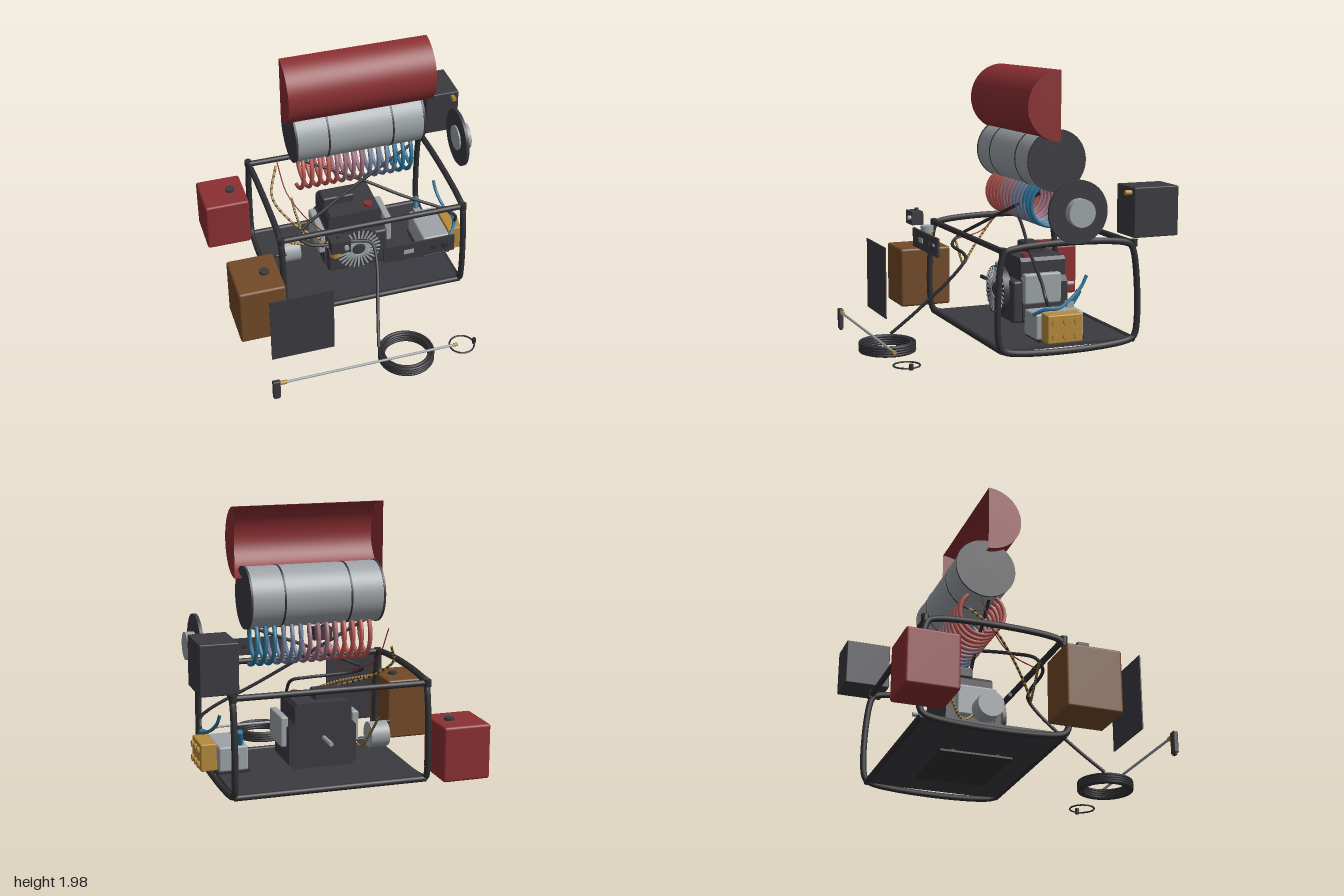
import * as THREE from 'three';
import { RoundedBoxGeometry } from 'three/addons/geometries/RoundedBoxGeometry.js';

const V = (p) => new THREE.Vector3(...p);
const colour = (name, hex) => {
  const m = new THREE.MeshStandardMaterial({ color: hex });
  m.name = name;
  return m;
};

export function createModel() {
  const root = new THREE.Group();
  const dark = colour('charcoal', 0x3b3a40), black = colour('black rubber', 0x303034);
  const gray = colour('light steel', 0x9da3a7), red = colour('red paint', 0x8b2f32);
  const brown = colour('brown paint', 0x724a28), brass = colour('brass', 0xb58a3a);
  const blue = colour('blue', 0x2c7599), hot = colour('hot coil red', 0xb55650);
  const warm = colour('warm coil mauve', 0x9a6a78), cool = colour('cool coil slate', 0x6e7996);
  const redInside = red;
  redInside.side = THREE.DoubleSide;

  const add = (name, geo, mat, pos = [0, 0, 0]) => {
    const m = new THREE.Mesh(geo, mat);
    m.name = name;
    m.position.set(...pos);
    root.add(m);
    return m;
  };
  // Box given by its lower and upper corners
  const box = (name, mat, a, b, r = 0) => {
    const s = a.map((v, i) => b[i] - v), c = a.map((v, i) => (v + b[i]) / 2);
    return add(name, r ? new RoundedBoxGeometry(...s, 3, r) : new THREE.BoxGeometry(...s), mat, c);
  };
  // Cylinder between two points
  const rod = (name, mat, a, b, r, n = 20) => {
    const d = V(b).sub(V(a));
    const m = add(name, new THREE.CylinderGeometry(r, r, d.length(), n), mat);
    m.position.copy(V(a)).addScaledVector(d, 0.5);
    m.quaternion.setFromUnitVectors(new THREE.Vector3(0, 1, 0), d.normalize());
    return m;
  };
  const tube = (name, mat, pts, r, closed = false, n = 60) =>
    add(name, new THREE.TubeGeometry(new THREE.CatmullRomCurve3(pts.map(V), closed, 'centripetal'), n, r, 8, closed), mat);
  // Colour a tube's segments by a rule returning the material number
  const paintSegments = (geo, count, radial, rule) => {
    for (let i = 0; i < count; i++) geo.addGroup(i * radial * 6, radial * 6, rule(i));
  };

  // Tubular frame: two rounded side loops joined by four cross bars
  for (const x of [-0.62, 0.725]) {
    tube('frameSideLoop', black, [
      [x, 0.18, 0.21], [x, 0.77, 0.193], [x, 0.81, 0.16], [x, 0.812, -0.73], [x, 0.77, -0.768],
      [x, 0.18, -0.792], [x, 0.14, -0.75], [x, 0.135, 0.17]], 0.023, true, 120);
    for (const z of [0.19, -0.775]) rod('frameCorner', black, [x, 0.785, z], [x, 0.835, z], 0.025);
  }
  for (const [y, z] of [[0.81, 0.185], [0.81, -0.765], [0.14, 0.195], [0.14, -0.775]])
    rod('frameCrossBar', black, [-0.62, y, z], [0.725, y, z], 0.021);
  box('basePlate', dark, [-0.61, 0.13, -0.77], [0.715, 0.15, 0.19]);
  box('mountPlate', black, [-0.26, 0.062, -0.545], [0.31, 0.075, -0.04]);
  for (const x of [-0.19, 0.24]) for (const z of [-0.13, -0.44])
    rod('mountFoot', black, [x, 0.075, z], [x, 0.1, z], 0.028);

  // Half-round lifted cover, hollow with closed ends
  const shell = add('coverShell', new THREE.CylinderGeometry(0.24, 0.24, 1.05, 48, 1, true, 0, Math.PI), redInside, [0.055, 1.742, -0.29]);
  shell.rotation.set(0, -Math.PI / 2, Math.PI / 2, 'YXZ');
  shell.rotation.set(0, 0, 0);
  const turn = new THREE.Matrix4().makeBasis(V([0, 1, 0]), V([1, 0, 0]), V([0, 0, -1]));
  shell.geometry.applyMatrix4(turn);
  // keep the curved half on the front side
  shell.geometry.computeBoundingBox();
  if (shell.geometry.boundingBox.max.z < 0.1) shell.geometry.rotateX(Math.PI);
  if (shell.geometry.boundingBox.max.z < 0.23 || shell.geometry.boundingBox.min.z < -0.1) {
    shell.geometry.dispose();
    shell.geometry = new THREE.CylinderGeometry(0.24, 0.24, 1.05, 48, 1, true, -Math.PI / 2, Math.PI).rotateZ(Math.PI / 2);
  }
  for (const x of [-0.47, 0.58]) {
    const cap = add('coverEnd', new THREE.CircleGeometry(0.24, 40, 0, Math.PI), red, [x, 1.742, -0.29]);
    cap.geometry.rotateZ(-Math.PI / 2).rotateY(-Math.PI / 2);
  }

  // Heater drum with bands and dark end discs
  const axis = (x, y = 1.368) => [x, y, -0.29];
  rod('heaterDrum', gray, axis(-0.41), axis(0.515), 0.209, 64);
  for (const x of [-0.18, 0.285]) rod('drumBand', black, axis(x - 0.006), axis(x + 0.006), 0.212, 64);
  for (const x of [-0.412, 0.515]) rod('drumEnd', dark, axis(x - 0.007), axis(x + 0.007), 0.214, 64);

  // Heat coil, hot to cool
  const helix = new THREE.Curve();
  helix.getPoint = (t, out = new THREE.Vector3()) => {
    const a = t * Math.PI * 28;
    return out.set(-0.375 + 0.86 * t, 1.064 - 0.155 * Math.cos(a), -0.29 + 0.155 * Math.sin(a));
  };
  const coilGeo = new THREE.TubeGeometry(helix, 560, 0.015, 8);
  paintSegments(coilGeo, 560, 8, (i) => (i < 170 ? 0 : i < 320 ? 1 : i < 450 ? 2 : 3));
  add('heatCoil', coilGeo, [hot, warm, cool, blue]);

  // Burner flange and hub
  rod('burnerFlange', dark, axis(0.842, 1.066), axis(0.864, 1.066), 0.212, 56);
  rod('burnerHub', gray, axis(0.832, 1.066), axis(0.927, 1.066), 0.094, 40);

  // Burner control box with fitting
  box('burnerBox', dark, [0.73, 0.89, -0.965], [0.985, 1.225, -0.637], 0.008);
  rod('burnerFitting', brass, [0.935, 1.188, -0.64], [0.935, 1.188, -0.592], 0.017);

  // Tanks with caps
  for (const [name, mat, z0, z1, top] of [['fuelTank', red, -1, -0.645, 0.556], ['waterTank', brown, 0.05, 0.437, 0.613]]) {
    box(name, mat, [-0.99, 0.175, z0], [-0.655, top, z1], 0.018);
    const z = (z0 + z1) / 2;
    rod(name + 'Cap', dark, [-0.762, top - 0.01, z], [-0.762, top + 0.018, z], 0.035);
  }
  box('sidePanel', dark, [-0.825, 0.165, 0.641], [-0.375, 0.685, 0.649]);

  // Engine block with chamfered lower housing
  const house = new THREE.Shape([[-0.18, 0.2], [0.235, 0.2], [0.265, 0.23], [0.265, 0.48], [0.225, 0.52],
    [0.225, 0.63], [0.205, 0.655], [-0.16, 0.655], [-0.18, 0.63], [-0.18, 0.52], [-0.215, 0.48], [-0.215, 0.23]]
    .map((p) => new THREE.Vector2(...p)));
  add('engineBlock', new THREE.ExtrudeGeometry(house, { depth: 0.34, bevelEnabled: false }), dark, [0, 0, -0.495]);
  box('engineFront', dark, [-0.2, 0.2, -0.16], [0.25, 0.5, -0.085], 0.02);
  box('airFilter', dark, [-0.18, 0.64, -0.42], [0.06, 0.72, -0.295], 0.015);
  rod('engineCap', red, [0.143, 0.65, -0.22], [0.143, 0.676, -0.22], 0.03);
  for (const [a, b] of [[-0.257, -0.205], [0.25, 0.305]])
    box('engineSideCover', gray, [a, 0.34, -0.43], [b, 0.555, -0.15], 0.014);
  rod('driveShaft', gray, [0.017, 0.405, -0.48], [0.017, 0.405, -0.656], 0.016);
  rod('fanHousing', dark, [0.017, 0.405, -0.1], [0.017, 0.405, -0.045], 0.172, 40);
  for (let i = 0; i < 28; i++) {
    const a = (i / 28) * Math.PI * 2;
    const fin = add('fanFin', new THREE.BoxGeometry(0.115, 0.0125, 0.009), gray,
      [0.017 + 0.108 * Math.cos(a), 0.405 + 0.108 * Math.sin(a), -0.0425]);
    fin.rotation.z = a;
  }
  rod('fanHub', dark, [0.017, 0.405, -0.06], [0.017, 0.405, -0.036], 0.04);

  // Small blower motor
  rod('blowerMotor', gray, [-0.515, 0.33, -0.28], [-0.38, 0.33, -0.28], 0.09, 32);
  rod('blowerPlug', black, [-0.58, 0.38, -0.175], [-0.5, 0.38, -0.175], 0.014);

  // Pump with brass head and hex plugs
  box('pumpBody', gray, [0.525, 0.195, -0.4], [0.73, 0.37, -0.05], 0.015);
  box('pumpBase', black, [0.515, 0.18, -0.4], [0.74, 0.196, -0.07]);
  box('pumpHead', brass, [0.73, 0.19, -0.34], [0.843, 0.383, -0.085], 0.01);
  for (const y of [0.235, 0.335]) for (const z of [-0.135, -0.215, -0.295])
    rod('pumpPlug', brass, [0.84, y, z], [0.86, y, z], 0.025, 6);
  box('pumpPort', gray, [0.555, 0.36, -0.385], [0.605, 0.41, -0.335]);
  rod('pumpValve', blue, [0.575, 0.36, -0.36], [0.59, 0.48, -0.43], 0.02);
  tube('blueHose', blue, [[0.725, 0.61, -0.42], [0.735, 0.53, -0.37], [0.76, 0.46, -0.28],
    [0.8, 0.42, -0.18], [0.775, 0.41, -0.09], [0.72, 0.37, -0.03]], 0.012);

  // Switch panel
  box('switchPanel', dark, [0.008, 0.76, 0.552], [0.517, 0.888, 0.567]);
  box('panelGauge', gray, [0.15, 0.81, 0.566], [0.22, 0.842, 0.572]);
  rod('panelKnob', black, [0.443, 0.825, 0.56], [0.443, 0.825, 0.585], 0.023);
  box('panelSwitch', black, [0.35, 0.81, 0.566], [0.375, 0.842, 0.58]);
  for (const x of [0.3, 0.443]) rod('panelStud', black, [x, 0.825, 0.535], [x, 0.825, 0.555], 0.015);

  // Pressure switch and fuel filter
  box('pressureSwitch', dark, [-0.342, 0.865, 0.415], [-0.207, 0.96, 0.498]);
  rod('switchPort', gray, [-0.24, 0.915, 0.495], [-0.24, 0.915, 0.52], 0.016);
  rod('switchTop', dark, [-0.28, 0.955, 0.44], [-0.28, 0.978, 0.44], 0.013);
  rod('filterTop', gray, [-0.28, 0.8, 0.363], [-0.28, 0.845, 0.363], 0.047, 32);
  rod('filterBowl', brass, [-0.28, 0.745, 0.363], [-0.28, 0.8, 0.363], 0.041, 32);
  rod('filterDrain', black, [-0.28, 0.732, 0.363], [-0.28, 0.746, 0.363], 0.03);

  // Coiled delivery hose and its lead to the heater
  for (let i = 0; i < 4; i++) for (const r of [0.187, 0.163])
    add('hoseCoil', new THREE.TorusGeometry(r, 0.011, 8, 56).rotateX(Math.PI / 2), black, [0.106, 0.068 + i * 0.017, 0.79]);
  tube('deliveryHose', black, [[-0.07, 0.13, 0.71], [-0.02, 0.29, 0.53], [0.05, 0.54, 0.28], [0.04, 0.64, 0.19],
    [-0.07, 0.66, 0.16], [-0.39, 0.68, 0.13], [-0.46, 0.72, 0.06], [-0.2, 0.86, -0.04], [0.46, 1.15, -0.2]], 0.012, false, 120);
  tube('feedHose', black, [[-0.37, 1.16, -0.25], [0.12, 0.89, -0.2], [0.38, 0.74, -0.15], [0.72, 0.56, -0.1],
    [0.785, 0.5, -0.09], [0.79, 0.44, -0.11]], 0.012);

  // Two-tone wires
  for (const pts of [
    [[-0.49, 1, -0.43], [-0.56, 0.84, -0.28], [-0.46, 0.71, -0.12], [-0.3, 0.63, 0.02], [-0.15, 0.57, 0.13]],
    [[-0.34, 0.555, -0.6], [-0.33, 0.45, -0.52], [-0.28, 0.29, -0.4], [-0.24, 0.36, -0.3]],
    [[-0.53, 0.67, 0.05], [-0.3, 0.63, 0.11], [-0.1, 0.57, 0.155]]]) {
    const wire = tube('stripedWire', [brass, black], pts, 0.009);
    paintSegments(wire.geometry, 60, 8, (i) => (i % 3 === 2 ? 1 : 0));
  }
  tube('thinWire', red, [[-0.5, 1.1, -0.35], [-0.46, 0.88, -0.25], [-0.38, 0.77, -0.1], [-0.27, 0.74, 0.13]], 0.004);

  // Spray wand with grip
  rod('wandPipe', gray, [-0.83, 0.135, 0.853], [0.46, 0.135, 0.853], 0.009);
  rod('wandCoupling', brass, [-0.83, 0.135, 0.853], [-0.775, 0.135, 0.853], 0.015);
  rod('wandNozzle', brass, [0.435, 0.135, 0.853], [0.465, 0.135, 0.853], 0.013);
  box('wandGrip', dark, [-0.876, 0.01, 0.836], [-0.822, 0.16, 0.87], 0.008);
  box('wandTrigger', black, [-0.87, 0, 0.845], [-0.83, 0.015, 0.861]);

  // Ring clamp
  const clampBand = black.clone();
  add('clampRing', new THREE.TorusGeometry(0.088, 0.006, 8, 48).rotateX(Math.PI / 2), black, [0.525, 0.06, 0.79]);
  clampBand.dispose();
  rod('clampScrew', black, [0.617, 0.05, 0.79], [0.617, 0.09, 0.79], 0.014);

  return root;
}
